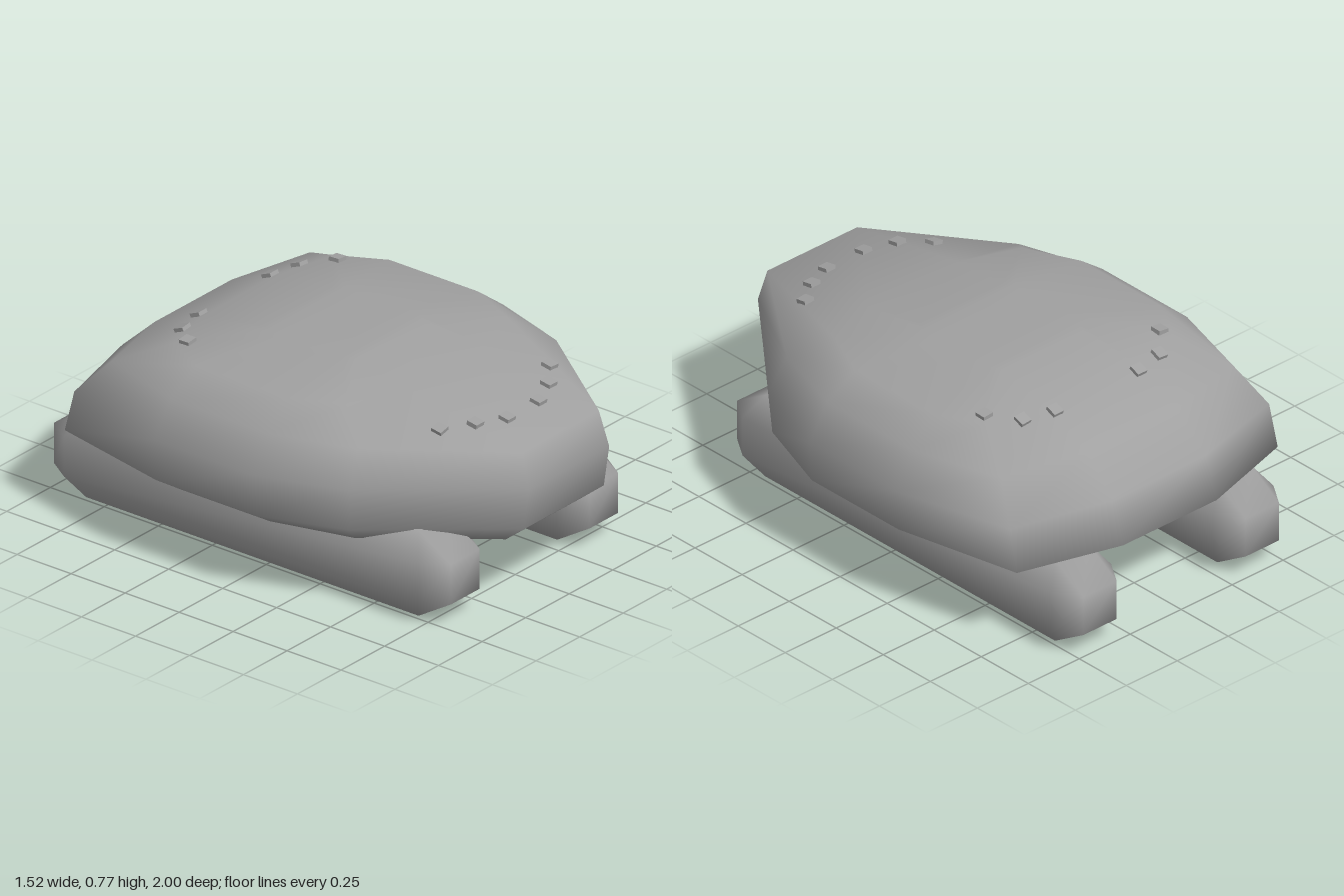
import * as THREE from 'three';
import { toCreasedNormals } from 'three/addons/utils/BufferGeometryUtils.js';

const material = new THREE.MeshStandardMaterial({ color: 0xa0a0a0 });
const openMaterial = new THREE.MeshStandardMaterial({ color: 0xa0a0a0, side: THREE.DoubleSide });

// Each hull ring: height y, then [x, z] from nose to tail on the +x side
const rings = [
  [0.268, [[0.22, 0.885], [0.555, 0.45], [0.64, 0.13], [0.64, -0.28], [0.555, -0.72], [0.21, -0.76]]],
  [0.34, [[0.23, 0.975], [0.63, 0.49], [0.75, 0.15], [0.75, -0.31], [0.64, -0.82], [0.23, -0.94]]],
  [0.505, [[0.23, 1.0], [0.64, 0.5], [0.76, 0.15], [0.76, -0.31], [0.635, -0.78], [0.23, -0.885]]],
  [0.64, [[0.22, 0.96], [0.57, 0.48], [0.675, 0.15], [0.675, -0.3], [0.57, -0.66], [0.22, -0.74]]],
  [0.733, [[0.22, 0.43], [0.46, 0.34], [0.555, 0.13], [0.555, -0.28], [0.46, -0.46], [0.22, -0.52]]],
  [0.766, [[0.2, 0.17], [0.22, 0.13], [0.23, 0.06], [0.23, -0.14], [0.22, -0.22], [0.2, -0.26]]],
];

// One side of the skid: [half width, y, half length] for each ring, bottom to top
const skidRings = [[0.082, 0, 0.77], [0.147, 0.092, 0.82], [0.147, 0.252, 0.82], [0.082, 0.344, 0.77]];

// Smooth loft through closed rings of points, capped at the top and optionally the bottom
function loft(loops, capBottom) {
  const pos = loops.flat(2), index = [], n = loops[0].length;
  const top = (loops.length - 1) * n;
  for (let k = 0; k < top; k++) {
    const next = k % n === n - 1 ? k - n + 1 : k + 1;
    index.push(k, next, next + n, k, next + n, k + n);
  }
  // Caps are split straight across between the two sides
  for (let a = 0; a < n / 2 - 1; a++) {
    const b = a + 1, c = n - 2 - a, d = n - 1 - a;
    index.push(top + a, top + b, top + c, top + a, top + c, top + d);
    if (capBottom) index.push(a, c, b, a, d, c);
  }
  const g = new THREE.BufferGeometry();
  g.setAttribute('position', new THREE.Float32BufferAttribute(pos, 3));
  g.setIndex(index);
  g.computeVertexNormals();
  return g;
}

// Half a ring plus its mirror image in x
const mirrorRing = (half) => [...half, ...[...half].reverse().map(([x, y, z]) => [-x, y, z])];

export function createModel() {
  const group = new THREE.Group();
  const add = (name, geometry, mat, x = 0, y = 0, z = 0) => {
    const mesh = new THREE.Mesh(geometry, mat);
    mesh.name = name;
    mesh.position.set(x, y, z);
    group.add(mesh);
    return mesh;
  };

  const hullLoops = rings.map(([y, half]) => mirrorRing(half.map(([x, z]) => [x, y, z])));
  const hull = add('hull', loft(hullLoops, true), material);

  // Skid: bevelled long tub, open underneath; its middle rings bulge at the ends
  const skidLoops = skidRings.map(([w, y, l], i) => {
    const end = i === 1 || i === 2 ? 0.92 : l;
    return mirrorRing([[0.082, y, end], [w, y, l], [w, y, -l], [0.082, y, -end]]);
  });
  const skid = toCreasedNormals(loft(skidLoops, false), Math.PI);

  // Stud spots [x, z] on the upper hull
  const stud = new THREE.BoxGeometry(0.045, 0.022, 0.045);
  const spots = [
    ['FrontStud', 0.09, 0.785], ['FrontStud', 0.21, 0.735], ['FrontStud', 0.315, 0.655],
    ['RearStud', 0.205, -0.55], ['RearStud', 0.335, -0.52], ['RearStud', 0.43, -0.42],
  ];
  const ray = new THREE.Raycaster();
  const up = new THREE.Vector3(0, 1, 0), down = new THREE.Vector3(0, -1, 0);

  for (const [side, s] of [['left', 1], ['right', -1]]) {
    add(side + 'Skid', skid, openMaterial, s * 0.398, 0, -0.08);
    // Seat each stud on the hull surface, tilted to match it
    for (const [name, x, z] of spots) {
      ray.set(new THREE.Vector3(s * x, 2, z), down);
      const hit = ray.intersectObject(hull)[0];
      const mesh = add(side + name, stud, material, s * x, hit.point.y + 0.004, z);
      mesh.quaternion.setFromUnitVectors(up, hit.face.normal);
    }
  }
  return group;
}
